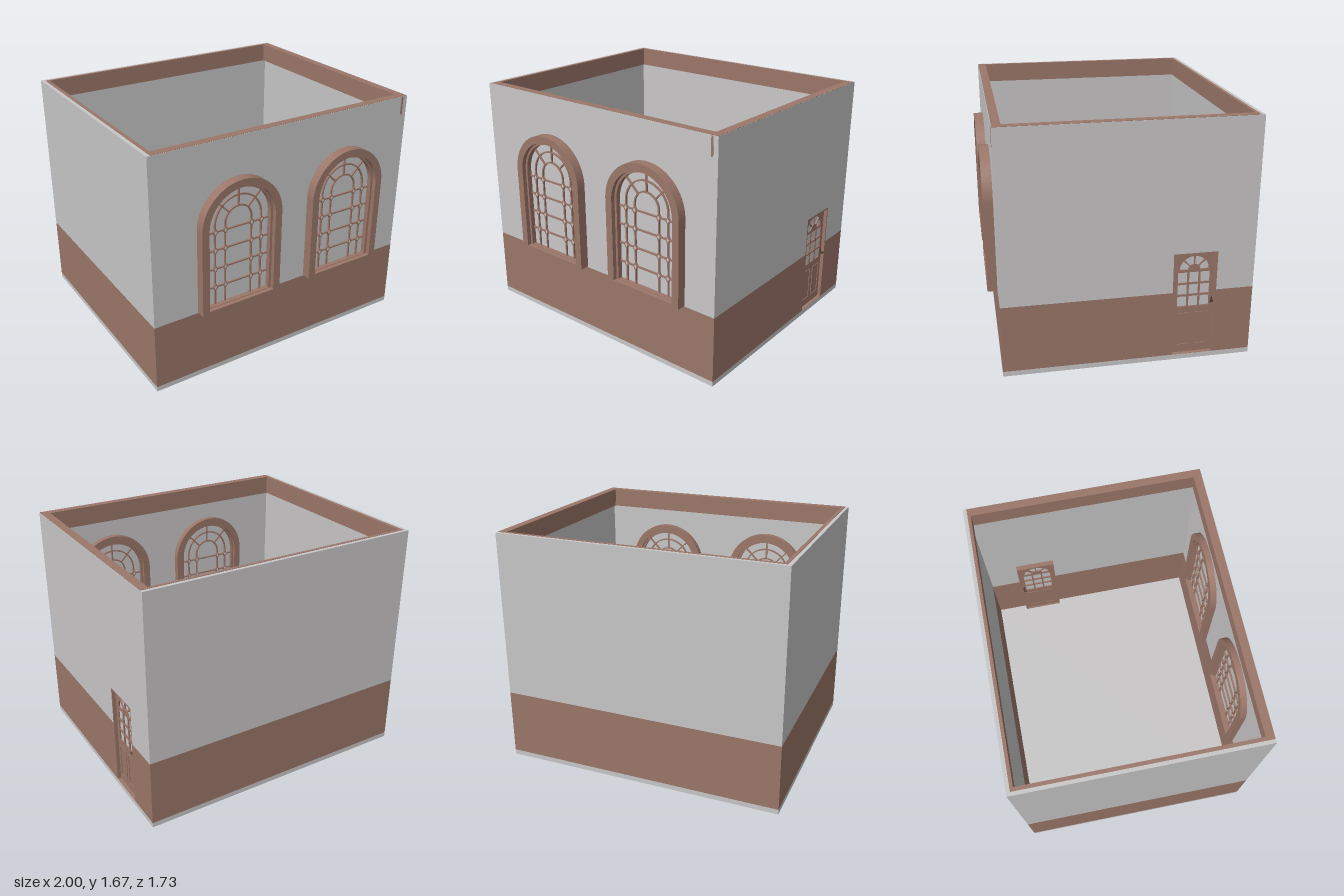
import * as THREE from 'three';

const plaster = new THREE.MeshStandardMaterial({ color: 0xc8c6c7 });
plaster.name = 'plasterGrey';
const wood = new THREE.MeshStandardMaterial({ color: 0x9b7669 });
wood.name = 'woodBrown';
const metal = new THREE.MeshStandardMaterial({ color: 0x4a3a35 });
metal.name = 'handleDark';

function add(parent, name, geometry, material) {
  const mesh = new THREE.Mesh(geometry, material);
  mesh.name = name;
  parent.add(mesh);
  return mesh;
}

// Box given by its limits on each axis
function block(parent, name, material, x0, x1, y0, y1, z0, z1) {
  const mesh = add(parent, name, new THREE.BoxGeometry(x1 - x0, y1 - y0, z1 - z0), material);
  mesh.position.set((x0 + x1) / 2, (y0 + y1) / 2, (z0 + z1) / 2);
  return mesh;
}

function extrude(shape, z0, z1) {
  const g = new THREE.ExtrudeGeometry(shape, { depth: z1 - z0, bevelEnabled: false, curveSegments: 32 });
  return g.translate(0, 0, z0);
}

// Round-headed outline
function arch(target, half, bottom, spring) {
  target.moveTo(-half, bottom);
  target.lineTo(half, bottom);
  target.lineTo(half, spring);
  target.absarc(0, spring, half, 0, Math.PI, false);
  target.lineTo(-half, bottom);
  return target;
}

function rect(target, x0, x1, y0, y1) {
  target.moveTo(x0, y0);
  target.lineTo(x1, y0);
  target.lineTo(x1, y1);
  target.lineTo(x0, y1);
  target.lineTo(x0, y0);
  return target;
}

function diamond(target, x, y, w, h) {
  target.moveTo(x - w, y);
  target.lineTo(x, y - h);
  target.lineTo(x + w, y);
  target.lineTo(x, y + h);
  target.lineTo(x - w, y);
  return target;
}

// Sector of a ring
function sector(target, y, r0, r1, a0, a1) {
  target.moveTo(r0 * Math.cos(a0), y + r0 * Math.sin(a0));
  target.absarc(0, y, r1, a0, a1, false);
  target.absarc(0, y, r0, a1, a0, true);
  return target;
}

function makeWindow(x) {
  const g = new THREE.Group();
  g.name = 'archedWindow';
  g.position.x = x;
  const spring = 1.105;

  // Deep outer casing and stepped inner sash
  const casing = arch(new THREE.Shape(), 0.3, 0.505, spring);
  casing.holes.push(arch(new THREE.Path(), 0.248, 0.528, spring));
  add(g, 'windowCasing', extrude(casing, 0.73, 0.865), wood);
  const sash = arch(new THREE.Shape(), 0.249, 0.527, spring);
  sash.holes.push(arch(new THREE.Path(), 0.231, 0.532, spring));
  add(g, 'windowSash', extrude(sash, 0.75, 0.835), wood);

  // Glazing bars, visible on both sides of the pane
  const z0 = 0.763, z1 = 0.812, t = 0.005;
  for (const y of [0.66, 0.795, 0.93, 1.06])
    block(g, 'horizontalBar', wood, -0.232, 0.232, y - t, y + t, z0, z1);
  for (const r of [0.099, 0.174]) {
    for (const s of [-1, 1]) {
      block(g, 'verticalBar', wood, s * r - t, s * r + t, 0.528, spring, z0, z1);
      for (const y of [0.66, 0.795, 0.93, 1.06]) {
        const d = diamond(new THREE.Shape(), s * r, y, 0.02, 0.029);
        d.holes.push(diamond(new THREE.Path(), s * r, y, 0.011, 0.017));
        add(g, 'diamondOrnament', extrude(d, z0 - 0.003, z1 + 0.003), wood);
        // Pane showing through the diamond
        const fill = diamond(new THREE.Shape(), s * r, y, 0.011, 0.017);
        add(g, 'diamondPane', extrude(fill, z0 - 0.001, z1 + 0.001), plaster);
      }
    }
    add(g, 'archBar', extrude(sector(new THREE.Shape(), spring, r - t, r + t, 0, Math.PI), z0, z1), wood);
  }
  for (const a of [45, 90, 135]) {
    const ang = THREE.MathUtils.degToRad(a);
    const bar = add(g, 'radialBar', new THREE.BoxGeometry(0.14, 2 * t, z1 - z0), wood);
    bar.position.set(0.168 * Math.cos(ang), spring + 0.168 * Math.sin(ang), (z0 + z1) / 2);
    bar.rotation.z = ang;
  }
  return g;
}

function makeDoor() {
  const g = new THREE.Group();
  g.name = 'door';
  // Local x runs towards -z, local z points outwards
  g.rotation.y = Math.PI / 2;
  g.position.set(0.9625, 0, -0.4675);

  const jamb = rect(new THREE.Shape(), -0.1475, 0.1475, 0.035, 0.775);
  jamb.holes.push(rect(new THREE.Path(), -0.138, 0.138, 0.036, 0.765));
  add(g, 'doorFrame', extrude(jamb, -0.024, 0.0375), wood);

  // Leaf with glazed openings and a fanlight
  const leaf = rect(new THREE.Shape(), -0.138, 0.138, 0.037, 0.765);
  for (const c of [-0.076, 0, 0.076])
    for (const [y0, y1] of [[0.38, 0.455], [0.468, 0.54], [0.553, 0.628]])
      leaf.holes.push(rect(new THREE.Path(), c - 0.032, c + 0.032, y0, y1));
  for (let i = 0; i < 4; i++) {
    const a = i * Math.PI / 4;
    leaf.holes.push(sector(new THREE.Path(), 0.642, 0.042, 0.1, a + 0.06, a + Math.PI / 4 - 0.06));
  }
  add(g, 'doorLeaf', extrude(leaf, -0.0125, 0.0125), wood);
  block(g, 'doorGlass', plaster, -0.12, 0.12, 0.37, 0.75, -0.003, 0.003);

  for (const s of [-1, 1]) {
    // Moulded lower panels on both faces
    for (const c of [-0.062, 0.062]) {
      const rim = rect(new THREE.Shape(), c - 0.046, c + 0.046, 0.09, 0.333);
      rim.holes.push(rect(new THREE.Path(), c - 0.039, c + 0.039, 0.098, 0.325));
      add(g, 'panelMoulding', extrude(rim, s * 0.0145 - 0.003, s * 0.0145 + 0.003), wood);
    }
    // Lever handle
    const stem = add(g, 'handleStem', new THREE.CylinderGeometry(0.005, 0.005, 0.028, 12), metal);
    stem.rotation.x = Math.PI / 2;
    stem.position.set(0.126, 0.415, s * 0.024);
    block(g, 'handleLever', metal, 0.108, 0.131, 0.411, 0.419, s * 0.035 - 0.003, s * 0.035 + 0.003);
    block(g, 'handlePlate', metal, 0.12, 0.132, 0.395, 0.435, s * 0.0135 - 0.0015, s * 0.0135 + 0.0015);
  }
  return g;
}

export function createModel() {
  const room = new THREE.Group();
  room.name = 'room';
  const top = 1.668, T = 0.025;
  block(room, 'floor', plaster, -1, 1, 0, 0.035, -0.867, 0.8);

  // Walls: brown lower band, grey above, doorway left open on the right
  for (const [name, mat, y0, y1] of [['wainscot', wood, 0.035, 0.5], ['wall', plaster, 0.5, top]]) {
    block(room, name + 'Front', mat, -1, 1, y0, y1, 0.8 - T, 0.8);
    block(room, name + 'Back', mat, -1, 1, y0, y1, -0.867, -0.867 + T);
    block(room, name + 'Left', mat, -1, -1 + T, y0, y1, -0.867 + T, 0.8 - T);
    block(room, name + 'Right', mat, 1 - T, 1, y0, y1, -0.32, 0.8 - T);
    block(room, name + 'RightRear', mat, 1 - T, 1, y0, y1, -0.867 + T, -0.615);
  }
  block(room, 'wallOverDoor', plaster, 1 - T, 1, 0.775, top, -0.615, -0.32);

  // Stepped cornice around the inside of the walls
  for (const [y0, y1, d] of [[1.565, 1.67, 0], [1.53, 1.565, 0.01]]) {
    block(room, 'corniceFront', wood, -0.975, 0.998, y0, y1, 0.74 + d, 0.797);
    block(room, 'corniceBack', wood, -0.975, 0.998, y0, y1, -0.842, -0.82 - d);
    block(room, 'corniceLeft', wood, -0.975, -0.95 - d, y0, y1, -0.82 - d, 0.74 + d);
    block(room, 'corniceRight', wood, 0.94 + d, 0.998, y0, y1, -0.82 - d, 0.74 + d);
  }
  block(room, 'corniceEnd', wood, 0.95, 0.965, 1.54, 1.667, 0.79, 0.802);

  room.add(makeWindow(-0.382), makeWindow(0.47), makeDoor());
  return room;
}
